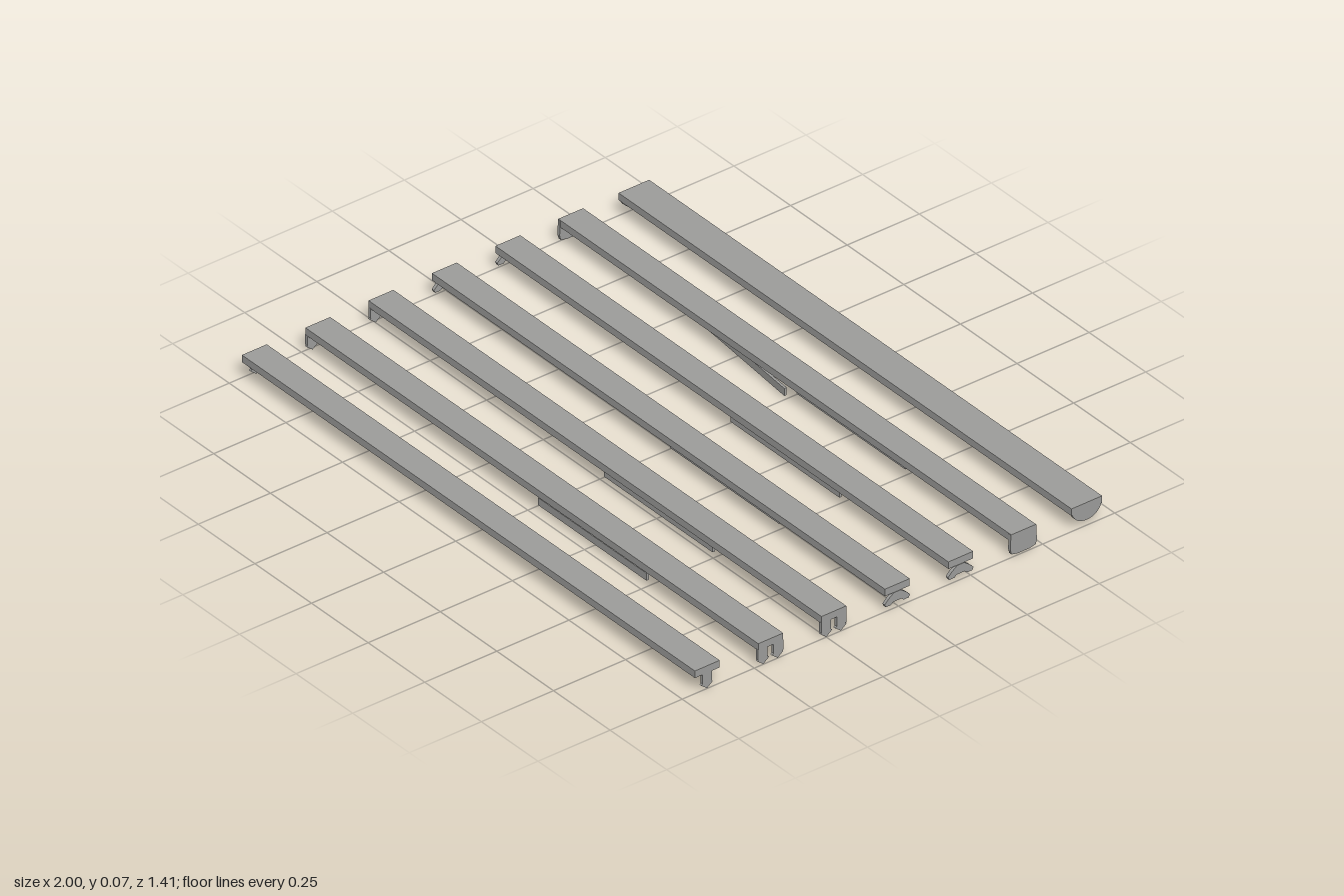
import * as THREE from 'three';

const metal = new THREE.MeshStandardMaterial({ color: 0x9c9c9a });
metal.name = 'greyMetal';

// Outline in (z, y), extruded along x and centred on x = 0
function profileBar(points, length) {
  const shape = new THREE.Shape(points.map(([z, y]) => new THREE.Vector2(-z, y)));
  const geo = new THREE.ExtrudeGeometry(shape, { depth: length, bevelEnabled: false });
  geo.translate(0, 0, -length / 2);
  geo.rotateY(Math.PI / 2);
  return geo;
}

function add(parent, name, geo, x = 0, y = 0, z = 0) {
  const mesh = new THREE.Mesh(geo, metal);
  mesh.name = name;
  mesh.position.set(x, y, z);
  parent.add(mesh);
  return mesh;
}

const END = 0.01;   // thickness of an end holder

// One post with a pointed diamond foot
function post(parent, x, z, width, shift) {
  add(parent, 'holderPost', profileBar([
    [-width / 2, 0.058], [-width / 2, 0.025], [width / 2, 0.025], [width / 2, 0.058],
  ], END), x, 0, z);
  add(parent, 'holderFoot', profileBar([
    [0, 0.036], [-0.02, 0.021], [0, 0.005], [0.02, 0.021],
  ], END * 0.8), x, 0, z + shift);
}

// End holder styles, each placed at x relative to its batten
const holders = {
  single: (g, x) => post(g, x, 0, 0.032, 0),
  double: (g, x) => {
    for (const s of [-1, 1]) post(g, x, s * 0.027, 0.033, -s * 0.002);
  },
  wing: (g, x) => add(g, 'wingHolder', profileBar([
    [0.012, 0.055], [0.03, 0.042], [0.044, 0.028], [0.04, 0.019], [0.022, 0.019], [0.014, 0.026],
    [-0.014, 0.026], [-0.022, 0.019], [-0.04, 0.019], [-0.044, 0.028], [-0.03, 0.042], [-0.012, 0.055],
  ], END), x),
  plate: (g, x) => add(g, 'endPlate', profileBar([
    [0.044, 0.078], [0.046, 0.03], [0.042, 0.015], [0.02, 0.01],
    [-0.02, 0.01], [-0.042, 0.015], [-0.046, 0.03], [-0.044, 0.078],
  ], END), x),
  halfRound: (g, x) => {
    const pts = [];
    for (let i = 0; i <= 16; i++) {
      const a = (i / 16) * Math.PI;
      pts.push([Math.cos(a) * 0.053, 0.079 - Math.pow(Math.sin(a), 0.8) * 0.056]);
    }
    add(g, 'halfRoundEnd', profileBar(pts, END), x);
  },
};

// Seven battens from front to back; strips are [side, z offset, yaw]
const battens = [
  { z: 0.663, w: 0.086, holder: 'single', strips: [] },
  { z: 0.443, w: 0.086, holder: 'double', strips: [[1, 0.02, 0]] },
  { z: 0.224, w: 0.086, holder: 'double', strips: [[1, 0.01, 0]] },
  { z: 0.004, w: 0.086, holder: 'wing', strips: [[-1, 0, 0], [1, 0, 0]] },
  { z: -0.216, w: 0.086, holder: 'wing', strips: [[1, 0.01, 0]] },
  { z: -0.434, w: 0.086, holder: 'plate', strips: [[-1, 0.014, -0.1], [1, 0, 0]] },
  { z: -0.653, w: 0.106, holder: 'halfRound', strips: [] },
];

export function createModel() {
  const model = new THREE.Group();
  model.name = 'battenSet';
  for (const b of battens) {
    const g = new THREE.Group();
    g.name = b.holder + 'Batten';
    g.position.z = b.z;
    model.add(g);

    // Long flat housing
    add(g, 'housing', new THREE.BoxGeometry(2, 0.023, b.w), 0, 0.0675, 0);
    // Matching holders at both ends
    for (const s of [-1, 1]) holders[b.holder](g, s * (1 - END / 2));
    // Thin strips hanging below the middle
    for (const [side, dz, yaw] of b.strips) {
      const strip = add(g, 'strip', new THREE.BoxGeometry(0.48, 0.024, 0.008),
        side * 0.242, side > 0 ? 0.022 : 0.027, dz);
      strip.rotation.y = yaw;
    }
  }
  return model;
}
